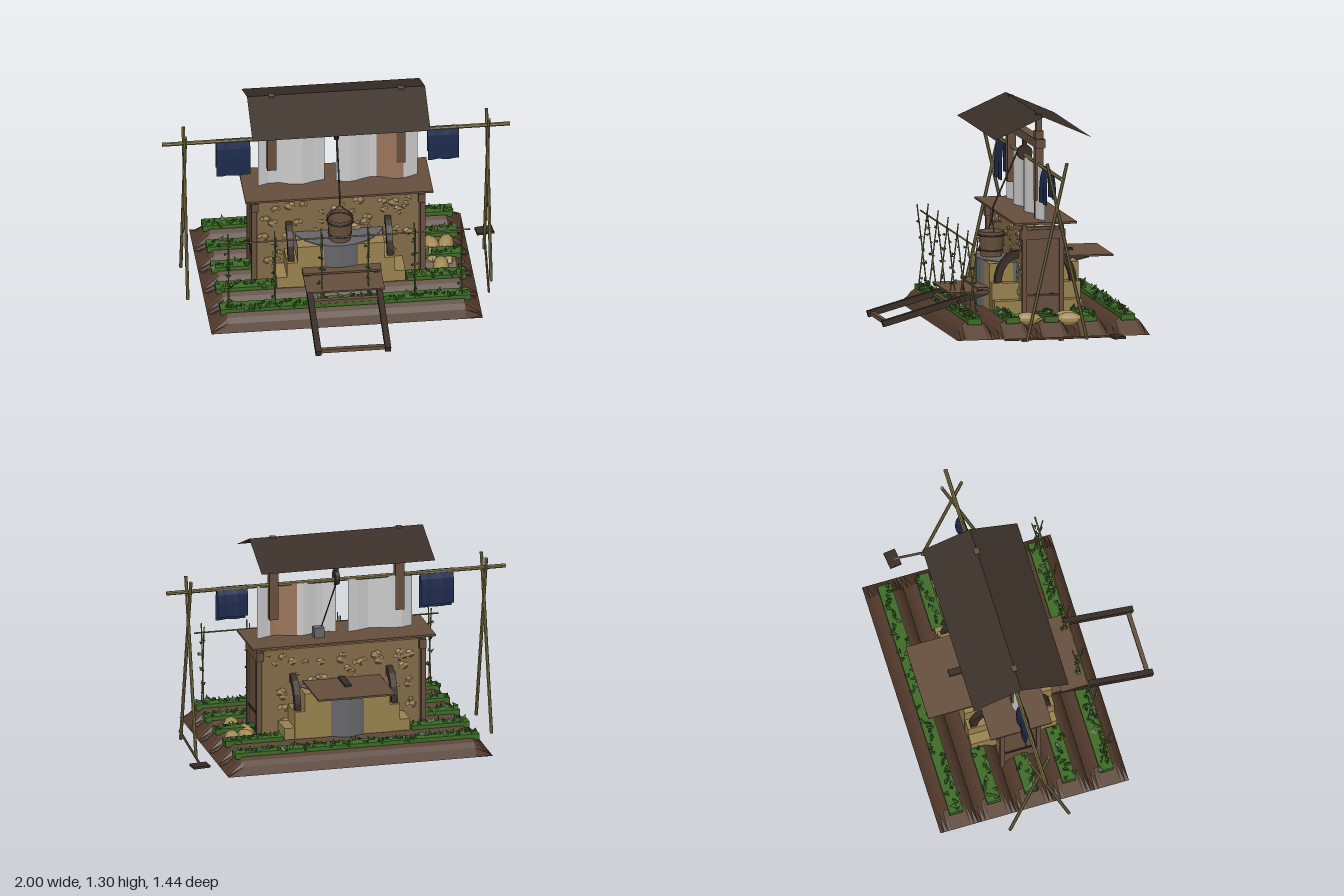
import * as THREE from 'three';
import { mergeGeometries } from 'three/addons/utils/BufferGeometryUtils.js';

const mat = (color) => new THREE.MeshStandardMaterial({ color, flatShading: true, side: THREE.DoubleSide });
const M = {
  soil: mat(0x523a2b), green: mat(0x3c6a24), leaf: mat(0x2f5720), wood: mat(0x664f3d), dark: mat(0x382d26),
  roof: mat(0x3a2f28), bamboo: mat(0x7a7044), navy: mat(0x1d2a4c), wall: mat(0x826b48), clay: mat(0x98824f),
  pebble: mat(0x9a8058), stone: mat(0x66666a), grey: mat(0xcccccc), rust: mat(0x9a755c), sack: mat(0xa58d58),
};
const CZ = -0.16; // centre line of the house
const V = (x, y, z) => new THREE.Vector3(x, y, z);

let seed = 7;
const rnd = () => (seed = (seed * 16807) % 2147483647) / 2147483647;

export function createModel() {
  const root = new THREE.Group();
  const add = (name, geo, m, x = 0, y = 0, z = 0) => {
    const mesh = new THREE.Mesh(geo, m);
    mesh.name = name;
    mesh.position.set(x, y, z);
    root.add(mesh);
    return mesh;
  };
  // box given by its limits
  const box = (name, m, x0, x1, y0, y1, z0, z1) =>
    add(name, new THREE.BoxGeometry(x1 - x0, y1 - y0, z1 - z0), m, (x0 + x1) / 2, (y0 + y1) / 2, (z0 + z1) / 2);
  // round pole between two points
  const pole = (name, m, a, b, r, sides = 6) => {
    const p = add(name, new THREE.CylinderGeometry(r, r, a.distanceTo(b), sides), m);
    p.position.copy(a).lerp(b, 0.5);
    p.quaternion.setFromUnitVectors(V(0, 1, 0), b.clone().sub(a).normalize());
    return p;
  };
  // square beam running in the yz plane
  const beam = (name, m, x, y0, z0, y1, z1, w, h) => {
    const p = add(name, new THREE.BoxGeometry(w, h, Math.hypot(y1 - y0, z1 - z0)), m, x, (y0 + y1) / 2, (z0 + z1) / 2);
    p.rotation.x = -Math.atan2(y1 - y0, z1 - z0);
    return p;
  };
  const sprig = (x, y, z, r, h, tilt) => new THREE.ConeGeometry(r, h, 3).rotateX((rnd() - 0.5) * tilt)
    .rotateZ((rnd() - 0.5) * tilt).rotateY(rnd() * 6).translate(x, y, z);

  // soil mounds with planted beds
  for (let i = 0; i < 5; i++) {
    const z = 0.288 - i * 0.2245;
    const geo = new THREE.PlaneGeometry(1.56, 0.226, 16, 10).rotateX(-Math.PI / 2);
    const p = geo.attributes.position;
    for (let k = 0; k < p.count; k++) {
      const side = Math.min(1, Math.max(0, (0.113 - Math.abs(p.getZ(k))) / 0.06));
      const end = Math.min(1, Math.max(0, (0.78 - Math.abs(p.getX(k))) / 0.09));
      p.setY(k, 0.06 + 0.092 * Math.min(Math.pow(side, 0.65), end));
    }
    geo.computeVertexNormals();
    add('soilMound', geo, M.soil, 0, 0, z);
    const spans = i === 0 || i === 4 ? [[-0.72, 0.72]] : [[-0.72, -0.38], [0.38, 0.72]];
    for (const [a, b] of spans) {
      box('plantBed', M.green, a, b, 0.14, 0.175, z - 0.04, z + 0.04);
      const leaves = [];
      for (let x = a + 0.015; x < b; x += 0.026)
        leaves.push(sprig(x, 0.182, z + (rnd() - 0.5) * 0.07, 0.02, 0.042, 1.6));
      add('bedLeaves', mergeGeometries(leaves), M.leaf);
    }
  }

  // bean trellis: crossed stakes, top rail and small leaves
  const vine = [];
  for (let i = 0; i < 6; i++) {
    const x = -0.67 + i * 0.268;
    for (const s of [-1, 1]) {
      pole('trellisStake', M.bamboo, V(x, 0.15, 0.29 + s * 0.026), V(x, 0.64, 0.29 - s * 0.033), 0.004, 5);
      for (let y = 0.22; y < 0.6; y += 0.08)
        vine.push(sprig(x + (rnd() - 0.5) * 0.03, y + (rnd() - 0.5) * 0.02,
          0.29 + s * (0.026 - (y - 0.15) * 0.12) + (rnd() - 0.5) * 0.02, 0.011, 0.026, 4));
    }
  }
  add('vineLeaves', mergeGeometries(vine), M.leaf);
  pole('trellisRail', M.bamboo, V(-0.72, 0.595, 0.29), V(0.72, 0.595, 0.29), 0.005, 5);

  // round stone well
  add('wellDrum', new THREE.CylinderGeometry(0.28, 0.28, 0.35, 24), M.stone, 0, 0.25, CZ);
  for (let i = 0; i < 14; i++) {
    const a = (i / 14) * Math.PI * 2;
    const s = add('wellStone', new THREE.BoxGeometry(0.1, 0.07, 0.07), M.stone,
      Math.cos(a) * 0.25, 0.085, CZ + Math.sin(a) * 0.25);
    s.rotation.y = -a + Math.PI / 2;
  }
  // stepped clay base
  [[0.25, 0.42, 0.26], [0.31, 0.315, 0.258], [0.37, 0.22, 0.256]].forEach(([w, top, d]) =>
    box('clayStep', M.clay, -w, w, 0.1, top, CZ - d, CZ + d));

  // stone-filled wall with timber ends
  box('wall', M.wall, -0.46, 0.46, 0.08, 0.645, -0.265, -0.06);
  const pebbles = [];
  for (const s of [-1, 1]) for (let i = 0; i < 60; i++) {
    const r = 0.014 + rnd() * 0.018;
    pebbles.push(new THREE.DodecahedronGeometry(r).rotateZ(rnd() * 3).scale(1.1, 0.9, 0.5)
      .translate((rnd() - 0.5) * 0.86, 0.2 + rnd() * 0.42, s > 0 ? -0.06 : -0.265));
  }
  add('wallPebbles', mergeGeometries(pebbles), M.pebble);
  for (const s of [-1, 1]) {
    box('endPanel', M.wood, s * 0.475 - 0.015, s * 0.475 + 0.015, 0.06, 0.66, -0.265, -0.06);
    box('endSill', M.dark, s * 0.488 - 0.008, s * 0.488 + 0.008, 0.26, 0.275, -0.265, -0.06);
    box('endBeam', M.wood, s * 0.48 - 0.02, s * 0.48 + 0.02, 0.59, 0.645, -0.29, -0.03);
    for (const z of [-0.052, -0.268])
      box('cornerPost', M.wood, s * 0.486 - 0.014, s * 0.486 + 0.014, 0, 0.67, z - 0.014, z + 0.014);
    // curved brackets on both faces
    for (const f of [-1, 1]) {
      const arc = [], inner = [];
      for (let k = 0; k <= 6; k++) {
        const a = (k / 6) * Math.PI / 2;
        arc.push(new THREE.Vector2(f * Math.cos(a) * 0.14, Math.sin(a) * 0.19));
        inner.unshift(new THREE.Vector2(f * Math.cos(a) * 0.1, Math.sin(a) * 0.145));
      }
      const g = new THREE.ExtrudeGeometry(new THREE.Shape([...arc, ...inner]), { depth: 0.036, bevelEnabled: false });
      g.rotateY(-Math.PI / 2);
      add('curvedBracket', g, M.dark, s * 0.285 + 0.018, 0.31, CZ + f * 0.1);
    }
  }
  box('tableTop', M.wood, -0.54, 0.54, 0.68, 0.692, -0.35, 0.015);

  // hanging sheets, gently waved
  const sheet = (m, x0, x1) => {
    const g = new THREE.PlaneGeometry(x1 - x0, 0.37, 6, 1);
    const p = g.attributes.position;
    for (let k = 0; k < p.count; k++) p.setZ(k, 0.02 * Math.sin((p.getX(k) + (x0 + x1) / 2) * 22));
    g.computeVertexNormals();
    add('hangingSheet', g, m, (x0 + x1) / 2, 0.82, CZ);
  };
  sheet(M.grey, -0.45, -0.065);
  sheet(M.grey, 0, 0.235);
  sheet(M.rust, 0.235, 0.385);
  sheet(M.grey, 0.385, 0.47);

  // roof with its posts and cross beam
  for (const s of [-1, 1]) {
    const g = new THREE.PlaneGeometry(1.024, Math.hypot(0.283, 0.125));
    g.rotateX(-Math.PI / 2 + s * Math.atan2(0.125, 0.283));
    add('roofPlane', g, M.roof, 0, 1.2325, CZ + s * 0.1415);
    const x = s * 0.372;
    box('roofPost', M.wood, x - 0.026, x + 0.026, 0.8, 1.2, CZ - 0.024, CZ + 0.024);
    box('postTip', M.wood, x - 0.016, x + 0.016, 1.2, 1.297, CZ - 0.016, CZ + 0.016);
  }
  box('crossBeam', M.wood, -0.435, 0.435, 1.105, 1.155, CZ - 0.028, CZ + 0.028);

  // pulley, rope, bucket and counterweight
  box('pulleyHanger', M.dark, -0.012, 0.012, 0.98, 1.11, CZ - 0.012, CZ + 0.012);
  add('pulleyWheel', new THREE.CylinderGeometry(0.045, 0.045, 0.024, 12).rotateZ(Math.PI / 2), M.dark, 0, 1.02, CZ);
  const hook = V(0, 0.645, 0.03);
  pole('rope', M.dark, V(0, 1.02, CZ + 0.045), V(0, 0.71, 0.025), 0.005, 5);
  pole('rope', M.dark, V(0, 0.71, 0.025), hook, 0.005, 5);
  pole('rope', M.dark, V(0, 1.02, CZ - 0.035), V(0.1, 0.75, -0.215), 0.004, 5);
  box('counterweight', M.stone, 0.09, 0.15, 0.692, 0.75, -0.245, -0.195);
  add('bucket', new THREE.CylinderGeometry(0.076, 0.063, 0.145, 14, 1, true), M.wood, 0, 0.503, 0.035);
  add('bucketBottom', new THREE.CylinderGeometry(0.064, 0.064, 0.01, 14), M.wood, 0, 0.436, 0.035);
  for (const [y, r] of [[0.465, 0.066], [0.55, 0.075]])
    add('bucketHoop', new THREE.TorusGeometry(r, 0.005, 5, 14).rotateX(Math.PI / 2), M.dark, 0, y, 0.035);
  for (const s of [-1, 1]) pole('bucketHandle', M.wood, V(s * 0.075, 0.575, 0.035), hook, 0.005, 5);

  // front shelf with the sloping ladder frame, back shelf with its lever
  box('frontShelf', M.wood, -0.225, 0.225, 0.247, 0.257, 0.08, 0.33);
  box('shelfCleat', M.wood, -0.225, 0.225, 0.268, 0.28, 0.09, 0.165);
  for (const s of [-1, 1]) beam('ladderRail', M.dark, s * 0.2, 0.085, 0.715, 0.262, 0.08, 0.034, 0.036);
  box('ladderRung', M.wood, -0.2, 0.2, 0.077, 0.1, 0.675, 0.7);
  box('ladderRung', M.wood, -0.2, 0.2, 0.18, 0.2, 0.31, 0.335);
  box('backShelf', M.wood, -0.228, 0.225, 0.44, 0.45, -0.63, -0.27);
  box('shelfBar', M.dark, -0.02, 0.02, 0.45, 0.462, -0.44, -0.28);
  beam('lever', M.dark, 0, 0.422, -0.53, 0.375, -0.33, 0.034, 0.034);

  // drying frame: crossed legs, long pole and folded cloths
  for (const s of [-1, 1]) for (const f of [-1, 1])
    pole('dryingLeg', M.bamboo, V(s * 0.872, 0.06, CZ + f * 0.175), V(s * 0.872, 1.08, CZ - f * 0.058), 0.01, 7);
  pole('dryingPole', M.bamboo, V(-1, 1.006, CZ), V(1, 1.006, CZ), 0.012, 7);
  for (const [x0, x1, bottom] of [[-0.69, -0.495, 0.785], [0.525, 0.705, 0.81]]) {
    for (const s of [-1, 1]) {
      const drop = s > 0 ? 0 : 0.03;
      const g = new THREE.PlaneGeometry(x1 - x0, 1.018 - bottom - drop, 6, 4);
      const p = g.attributes.position;
      for (let k = 0; k < p.count; k++) {
        const t = 0.5 - p.getY(k) / (1.018 - bottom - drop);
        p.setZ(k, s * (0.004 + 0.022 * Math.min(1, t * 3)) + 0.006 * t * Math.sin(p.getX(k) * 60));
      }
      g.computeVertexNormals();
      add('dryingCloth', g, M.navy, (x0 + x1) / 2, (1.018 + bottom + drop) / 2, CZ);
    }
  }

  // sacks lying beside the wall
  for (const [x, y, z, r] of [[0.56, 0.145, -0.28, 0.2], [0.645, 0.145, -0.28, -0.2], [0.59, 0.145, -0.05, -0.15],
    [0.54, 0.14, -0.17, 0.3], [0.64, 0.125, -0.16, 0.1]]) {
    const s = add('sack', new THREE.SphereGeometry(1, 10, 7).scale(0.045, 0.04, 0.08), M.sack, x, y, z);
    s.rotation.y = r;
  }

  // hoe on the ground
  pole('hoeHandle', M.wood, V(0.845, 0.066, 0.14), V(0.89, 0.076, -0.5), 0.007, 6);
  const head = add('hoeHead', new THREE.BoxGeometry(0.1, 0.014, 0.07), M.dark, 0.893, 0.072, -0.507);
  head.rotation.y = 0.12;

  return root;
}
